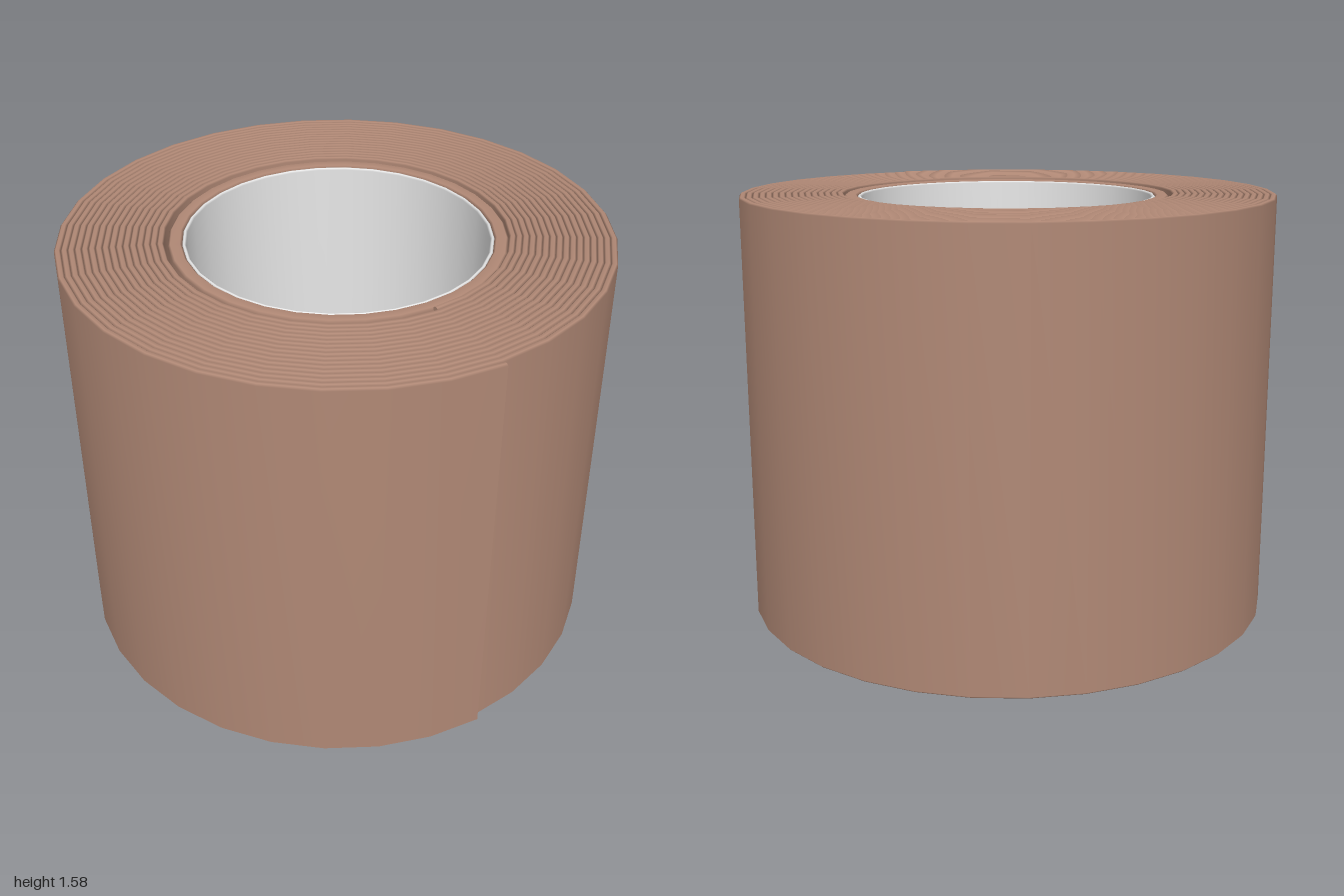
import * as THREE from 'three';

const HEIGHT = 1.58;
const SIDES = 32;
const PITCH = 0.0237;
const TURNS = 16;

// Rectangle with bevelled corners, counter-clockwise in (radius, y)
function bevelledProfile(r0, r1, y0, y1, b) {
  return [
    [r0 + b, y0], [r1 - b, y0], [r1, y0 + b], [r1, y1 - b],
    [r1 - b, y1], [r0 + b, y1], [r0, y1 - b], [r0, y0 + b],
  ];
}

// Sweep a profile around the y axis; a pitch above zero makes an open spiral with end caps
function sweep(profile, turns, pitch) {
  const steps = turns * SIDES;
  const n = profile.length;
  const closed = pitch === 0;
  const rows = closed ? steps : steps + 1;
  const pos = [];
  const index = [];
  const addRow = (i) => {
    const a = (i / SIDES) * Math.PI * 2;
    for (const [r, y] of profile) {
      const radius = r + (pitch * i) / SIDES;
      pos.push(radius * Math.sin(a), y, radius * Math.cos(a));
    }
  };
  for (let i = 0; i < rows; i++) addRow(i);
  for (let i = 0; i < steps; i++) {
    const here = i * n;
    const next = ((i + 1) % rows) * n;
    for (let j = 0; j < n; j++) {
      const k = (j + 1) % n;
      index.push(here + j, next + j, here + k, next + j, next + k, here + k);
    }
  }
  if (!closed) {
    for (const end of [0, steps]) {
      const base = pos.length / 3;
      addRow(end);
      for (let j = 1; j < n - 1; j++) {
        if (end === 0) index.push(base, base + j, base + j + 1);
        else index.push(base, base + j + 1, base + j);
      }
    }
  }
  const geometry = new THREE.BufferGeometry();
  geometry.setAttribute('position', new THREE.Float32BufferAttribute(pos, 3));
  geometry.setIndex(index);
  geometry.computeVertexNormals();
  return geometry;
}

export function createModel() {
  const tapeBrown = new THREE.MeshStandardMaterial({ color: 0xb08875 });
  tapeBrown.name = 'tapeBrown';
  const coreWhite = new THREE.MeshStandardMaterial({ color: 0xeeeeee });
  coreWhite.name = 'coreWhite';

  const group = new THREE.Group();
  group.name = 'tapeRoll';
  const add = (name, geometry, material) => {
    const mesh = new THREE.Mesh(geometry, material);
    mesh.name = name;
    mesh.position.z = -0.01;
    group.add(mesh);
  };

  // Wound tape, one continuous spiral ending in a step at the front
  add('woundTape', sweep(bevelledProfile(0.602, 0.602 + PITCH, 0, HEIGHT, 0.006), TURNS, PITCH), tapeBrown);

  // Brown sleeve between the tape and the core
  add('coreSleeve', sweep(bevelledProfile(0.554, 0.604, 0.008, HEIGHT - 0.008, 0.008), 1, 0), tapeBrown);

  // White lining of the hole
  add('coreLining', sweep(bevelledProfile(0.54, 0.556, 0.012, HEIGHT - 0.012, 0.006), 1, 0), coreWhite);

  return group;
}
